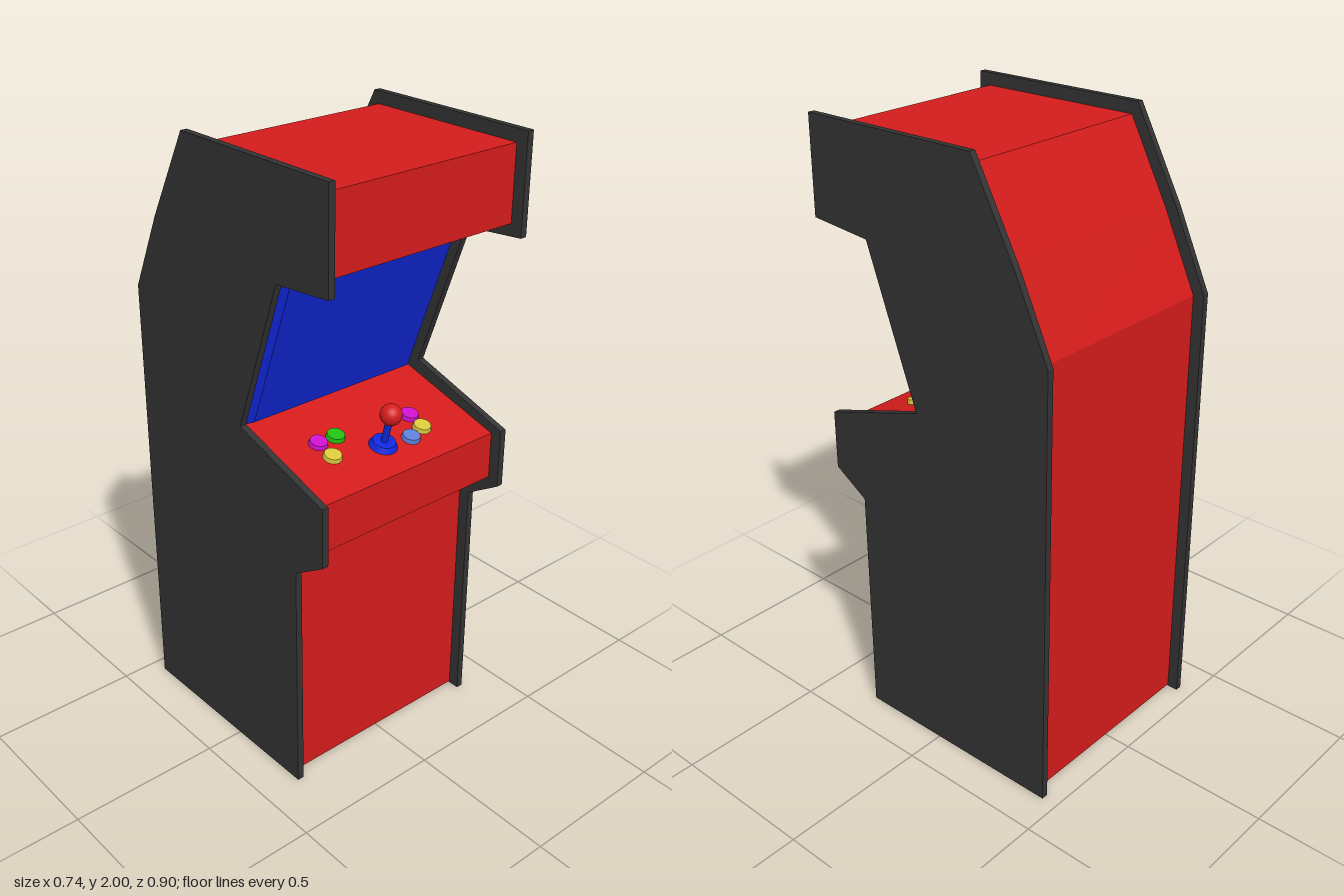
import * as THREE from 'three';

const mat = (color) => new THREE.MeshStandardMaterial({ color });
const black = mat(0x333333), red = mat(0xd41c1c), blue = mat(0x1028e0);

// Extrude a (z, y) profile along x, centred on x = 0
function profileGeometry(points, width) {
  const shape = new THREE.Shape(points.map(([z, y]) => new THREE.Vector2(z, y)));
  const geo = new THREE.ExtrudeGeometry(shape, { depth: width, bevelEnabled: false });
  return geo.translate(0, 0, -width / 2).rotateY(-Math.PI / 2);
}

function add(parent, name, geo, material, x = 0, y = 0, z = 0) {
  const mesh = new THREE.Mesh(geo, material);
  mesh.name = name;
  mesh.position.set(x, y, z);
  parent.add(mesh);
  return mesh;
}

export function createModel() {
  const group = new THREE.Group();
  group.name = 'arcadeCabinet';

  // Side panels
  const side = profileGeometry([
    [0.305, 0], [0.305, 0.79], [0.425, 0.865], [0.425, 1.06], [0.055, 1.175],
    [0.235, 1.67], [0.45, 1.69], [0.45, 2], [-0.175, 2], [-0.33, 1.715],
    [-0.447, 1.465], [-0.447, 0],
  ], 0.022);
  for (const s of [1, -1]) add(group, s > 0 ? 'leftPanel' : 'rightPanel', side, black, s * 0.36);

  // Cabinet body, set in from the panel edges
  add(group, 'body', profileGeometry([
    [0.267, 0.005], [0.267, 0.81], [0.387, 0.885], [0.387, 1.04], [0, 1.145],
    [0.21, 1.715], [0.41, 1.725], [0.41, 1.96], [-0.155, 1.96], [-0.295, 1.70],
    [-0.41, 1.455], [-0.41, 0.005],
  ], 0.7), red);

  // Screen: raised plate with bevelled edges, leaning forward at the top
  const depth = 0.035, length = 0.607;
  const plate = new THREE.BoxGeometry(0.699, length, depth);
  const p = plate.attributes.position;
  for (let i = 0; i < p.count; i++) {
    if (p.getZ(i) > 0) p.setXY(i, p.getX(i) * 0.89, p.getY(i) * 0.89);
  }
  plate.computeVertexNormals();
  const lean = Math.atan2(0.21, 0.57);
  const screen = add(group, 'screen', plate, blue, 0, 1.43, 0.105);
  screen.rotation.x = lean;
  screen.translateZ(depth / 2);

  // Controls follow the sloping panel
  const slope = 0.105 / 0.387;
  const controls = new THREE.Group();
  controls.name = 'controls';
  controls.position.set(0, 1.04, 0.387);
  controls.rotation.x = Math.atan(slope);
  group.add(controls);
  const along = (z) => (z - 0.387) * Math.sqrt(1 + slope * slope);

  // Joystick
  const stickZ = along(0.27);
  add(controls, 'joystickBase', new THREE.CylinderGeometry(0.036, 0.045, 0.018, 32), blue, 0, 0.009, stickZ);
  add(controls, 'joystickShaft', new THREE.CylinderGeometry(0.011, 0.011, 0.11, 20), blue, 0, 0.06, stickZ);
  add(controls, 'joystickBall', new THREE.SphereGeometry(0.034, 32, 20), red, 0, 0.119, stickZ);

  // Buttons: x, z, colour
  const button = new THREE.CylinderGeometry(0.027, 0.03, 0.014, 28);
  for (const [x, z, color] of [
    [-0.175, 0.24, 0xd8c83c], [-0.175, 0.175, 0xd010d0], [-0.108, 0.175, 0x20c010],
    [0.1, 0.285, 0x5c80d8], [0.165, 0.265, 0xd8c83c], [0.168, 0.205, 0xd010d0],
  ]) add(controls, 'button', button, mat(color), x, 0.007, along(z));

  return group;
}
